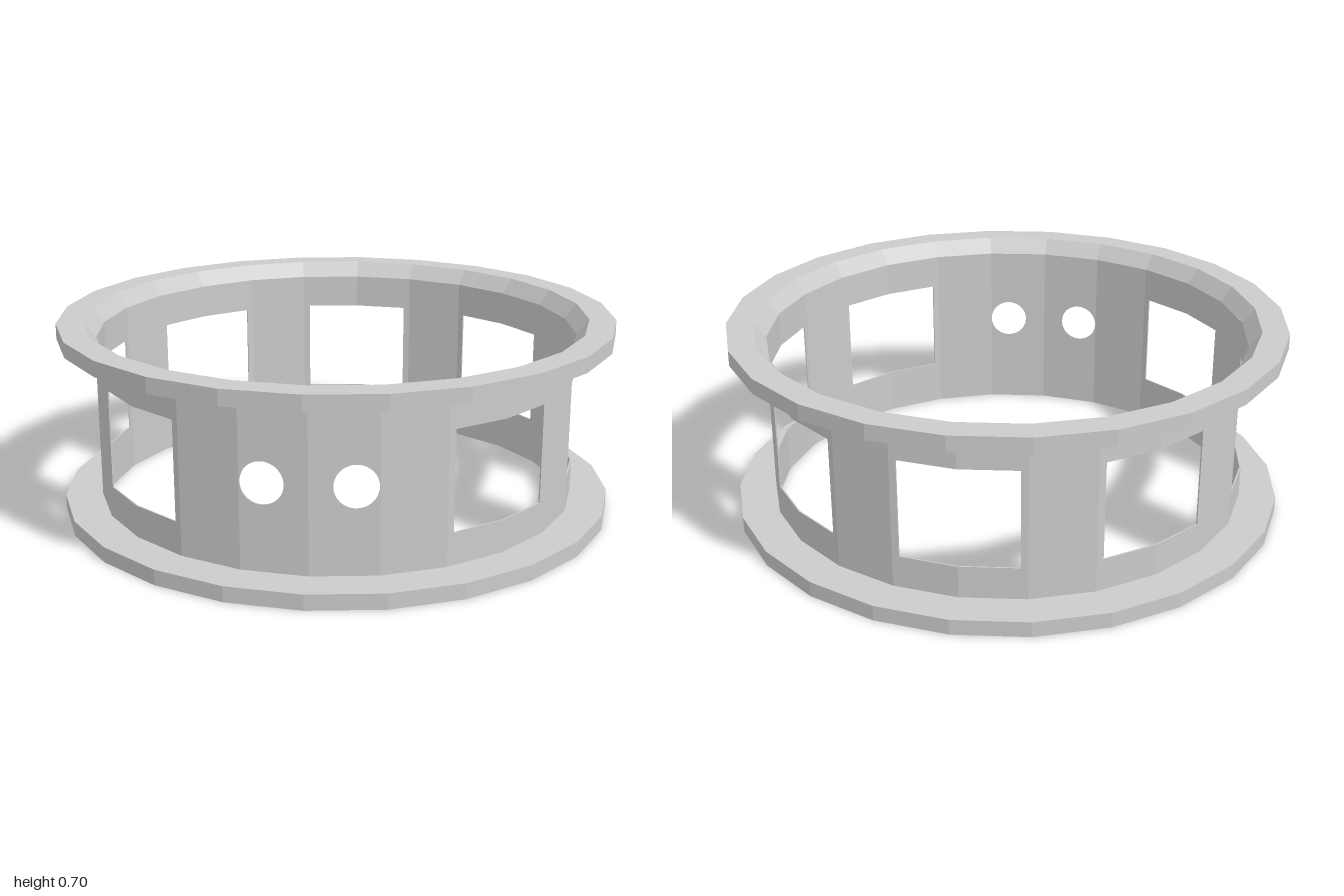
import * as THREE from 'three';
import { mergeGeometries } from 'three/addons/utils/BufferGeometryUtils.js';

const SIDES = 24;
const STEP = (Math.PI * 2) / SIDES;
const R_IN = 0.862, R_WALL = 0.867, R_OUT = 1;
const HEIGHT = 0.70, FLANGE = 0.055;
const WIN_LOW = 0.17, WIN_HIGH = 0.52, WIN_HALF = 0.2017;

// Faceted ring from a closed counterclockwise [radius, y] profile
function ring(name, profile, material) {
  const points = [...profile, profile[0]].map(([r, y]) => new THREE.Vector2(r, y));
  const mesh = new THREE.Mesh(new THREE.LatheGeometry(points, SIDES), material);
  mesh.name = name;
  return mesh;
}

// One flat wall panel: plain, notched for half a window, or with a round hole
function panel(i) {
  const half = R_WALL * Math.sin(STEP / 2);
  const y0 = FLANGE, y1 = HEIGHT - FLANGE;
  const isFront = i === 0 || i === SIDES - 1;
  const side = i % 3 === 0 ? -1 : 1; // side of the panel nearest the window centre
  const shape = new THREE.Shape();
  shape.moveTo(-side * half, y0);
  shape.lineTo(side * half, y0);
  if (!isFront && i % 3 !== 1) {
    const edge = side * (half - WIN_HALF);
    shape.lineTo(side * half, WIN_LOW);
    shape.lineTo(edge, WIN_LOW);
    shape.lineTo(edge, WIN_HIGH);
    shape.lineTo(side * half, WIN_HIGH);
  }
  shape.lineTo(side * half, y1);
  shape.lineTo(-side * half, y1);
  shape.closePath();
  if (isFront) {
    const hole = new THREE.Path();
    hole.absarc(-side * 0.038, 0.358, 0.0725, 0, Math.PI * 2, true);
    shape.holes.push(hole);
  }
  const depth = R_WALL - R_IN;
  const geometry = new THREE.ExtrudeGeometry(shape, { depth, bevelEnabled: false, curveSegments: 24 });
  geometry.translate(0, 0, R_WALL * Math.cos(STEP / 2) - depth);
  geometry.rotateY((i + 0.5) * STEP);
  return geometry;
}

export function createModel() {
  const group = new THREE.Group();
  group.name = 'windowedRing';
  const material = new THREE.MeshStandardMaterial({ color: 0xcccccc, flatShading: true });

  // Bottom flange with a straight bore
  group.add(ring('bottomFlange', [
    [R_IN, 0], [R_OUT, 0], [R_OUT, FLANGE], [R_IN, FLANGE],
  ], material));

  // Top flange with a bore that flares outward
  group.add(ring('topFlange', [
    [R_IN, HEIGHT - FLANGE], [R_OUT, HEIGHT - FLANGE], [R_OUT, HEIGHT], [0.905, HEIGHT],
  ], material));

  // Thin wall with seven windows and two round holes at the front
  const panels = Array.from({ length: SIDES }, (_, i) => panel(i));
  const wall = new THREE.Mesh(mergeGeometries(panels), material);
  wall.name = 'wall';
  group.add(wall);

  return group;
}
